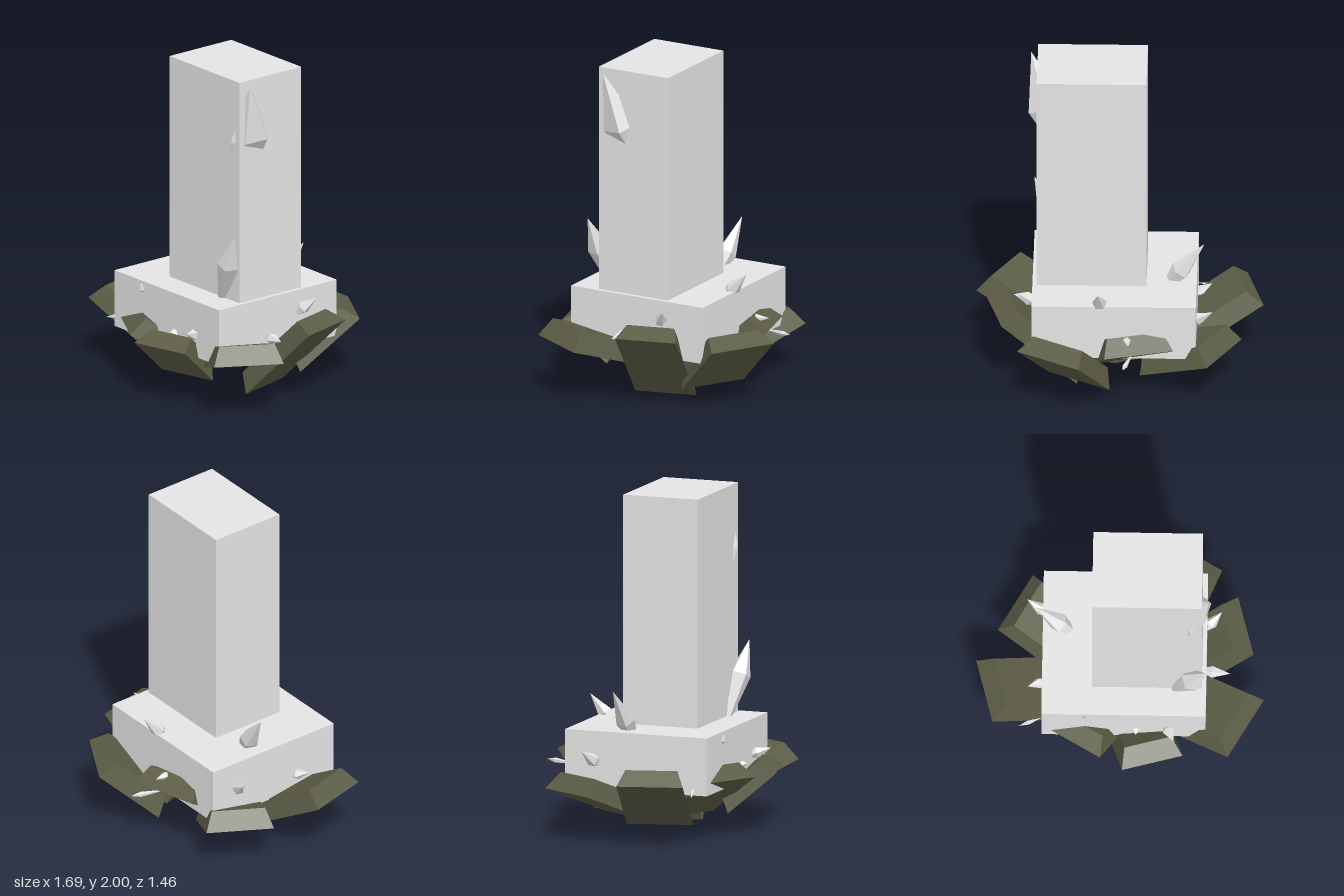
import * as THREE from 'three';

const stone = new THREE.MeshStandardMaterial({ color: 0xe4e4e4, flatShading: true });
stone.name = 'paleStone';
const rock = new THREE.MeshStandardMaterial({ color: 0x5c5d46, flatShading: true });
rock.name = 'oliveRock';

// Centre of the base, shared by the ring of slabs
const CX = 0.0275, CZ = 0.0375;

// Box given by its limits on each axis
function block(name, x0, x1, y0, y1, z0, z1) {
  const m = new THREE.Mesh(new THREE.BoxGeometry(x1 - x0, y1 - y0, z1 - z0), stone);
  m.position.set((x0 + x1) / 2, (y0 + y1) / 2, (z0 + z1) / 2);
  m.name = name;
  return m;
}

// Slab with an inset top; its underside runs from (rIn, yIn) out to (rOut, yOut)
function slab(deg, rOut, yOut, rIn, yIn, width) {
  const length = Math.hypot(rOut - rIn, yOut - yIn), thick = 0.12, inset = 0.042;
  const geo = new THREE.BoxGeometry(length, thick, width);
  geo.translate(0, thick / 2, 0);
  const p = geo.attributes.position;
  for (let i = 0; i < p.count; i++) {
    if (p.getY(i) < thick / 2) continue;
    p.setX(i, p.getX(i) - Math.sign(p.getX(i)) * inset);
    p.setZ(i, p.getZ(i) - Math.sign(p.getZ(i)) * inset);
  }
  geo.computeVertexNormals();
  const a = THREE.MathUtils.degToRad(deg), t = Math.atan2(yOut - yIn, rOut - rIn);
  const along = new THREE.Vector3(Math.cos(a) * Math.cos(t), Math.sin(t), Math.sin(a) * Math.cos(t));
  const up = new THREE.Vector3(-Math.cos(a) * Math.sin(t), Math.cos(t), -Math.sin(a) * Math.sin(t));
  const side = new THREE.Vector3().crossVectors(along, up);
  const m = new THREE.Mesh(geo, rock);
  m.quaternion.setFromRotationMatrix(new THREE.Matrix4().makeBasis(along, up, side));
  const r = (rOut + rIn) / 2;
  m.position.set(CX + r * Math.cos(a), (yOut + yIn) / 2, CZ + r * Math.sin(a));
  m.name = 'rockSlab';
  return m;
}

// Pointed five-sided crystal from a buried root to its tip, spun about its own axis
function crystal(root, tip, radius, belly = 0.5, spin = 0) {
  const a = new THREE.Vector3(...root), axis = new THREE.Vector3(...tip).sub(a);
  const length = axis.length();
  const profile = [[0, 0], [radius, length * belly], [0, length]].map(q => new THREE.Vector2(...q));
  const geo = new THREE.LatheGeometry(profile, 5);
  geo.rotateY(spin);
  const m = new THREE.Mesh(geo, stone);
  m.position.copy(a);
  m.quaternion.setFromUnitVectors(new THREE.Vector3(0, 1, 0), axis.normalize());
  m.name = 'crystal';
  return m;
}

export function createModel() {
  const g = new THREE.Group();
  g.name = 'crystalPillar';
  g.add(block('tower', -0.16, 0.485, 0.6, 2, -0.16, 0.31));
  g.add(block('base', -0.455, 0.51, 0.29, 0.635, -0.41, 0.485));

  // Rock core closing the underside between the slabs
  const core = new THREE.Mesh(new THREE.CylinderGeometry(0.32, 0.3, 0.13, 8), rock);
  core.position.set(CX, 0.235, CZ);
  core.name = 'rockCore';
  g.add(core);

  // Ring of slabs, one each 45 degrees: rOut, yOut, rIn, yIn, width
  const slabs = [
    [0.733, 0.45, 0.278, 0.0, 0.37],
    [0.828, 0.345, 0.247, 0.16, 0.415],
    [0.665, 0.36, 0.385, 0.12, 0.366],
    [0.6, 0.36, 0.2, 0.105, 0.38],
    [0.85, 0.385, 0.307, 0.07, 0.393],
    [0.748, 0.285, 0.29, 0.1, 0.4],
    [0.578, 0.375, 0.18, 0.118, 0.418],
    [0.763, 0.39, 0.409, 0.08, 0.42],
  ];
  slabs.forEach((s, i) => g.add(slab(-15 + 45 * i, ...s)));

  // Crystals: root, tip, radius, belly position, spin
  const crystals = [
    // on the tower
    [[0.33, 1.33, 0.1], [0.525, 1.975, 0.26], 0.12, 0.5, Math.PI],
    [[0.39, 1.48, 0.3], [0.45, 1.715, 0.308], 0.025, 0.6],
    // on top of the base
    [[0.27, 0.5, 0.29], [0.51, 1.065, 0.372], 0.068, 0.65, Math.PI],
    [[-0.22, 0.5, -0.04], [-0.5, 0.885, -0.09], 0.06, 0.5],
    [[0.1, 0.53, -0.28], [0.12, 0.75, -0.48], 0.045, 0.5],
    // on the right and left walls
    [[0.47, 0.46, -0.09], [0.595, 0.59, -0.185], 0.036, 0.5],
    [[0.44, 0.38, 0.1], [0.65, 0.4, 0.13], 0.036, 0.5],
    [[-0.38, 0.4, -0.19], [-0.55, 0.525, -0.27], 0.04, 0.5],
    [[-0.4, 0.37, 0.17], [-0.54, 0.43, 0.24], 0.033, 0.5],
    // on the back and front walls
    [[-0.04, 0.42, -0.37], [-0.06, 0.44, -0.53], 0.026, 0.5],
    [[-0.09, 0.36, -0.46], [-0.03, 0.37, -0.69], 0.016, 0.75],
    [[-0.45, 0.34, 0.4], [-0.59, 0.3, 0.44], 0.013, 0.6],
    [[-0.2, 0.54, 0.46], [-0.2, 0.625, 0.5], 0.022, 0.5],
    [[0.26, 0.4, 0.43], [0.325, 0.46, 0.58], 0.035, 0.5],
    [[0.1, 0.38, 0.43], [0.1, 0.4, 0.52], 0.028, 0.6],
  ];
  crystals.forEach(c => g.add(crystal(...c)));
  return g;
}
